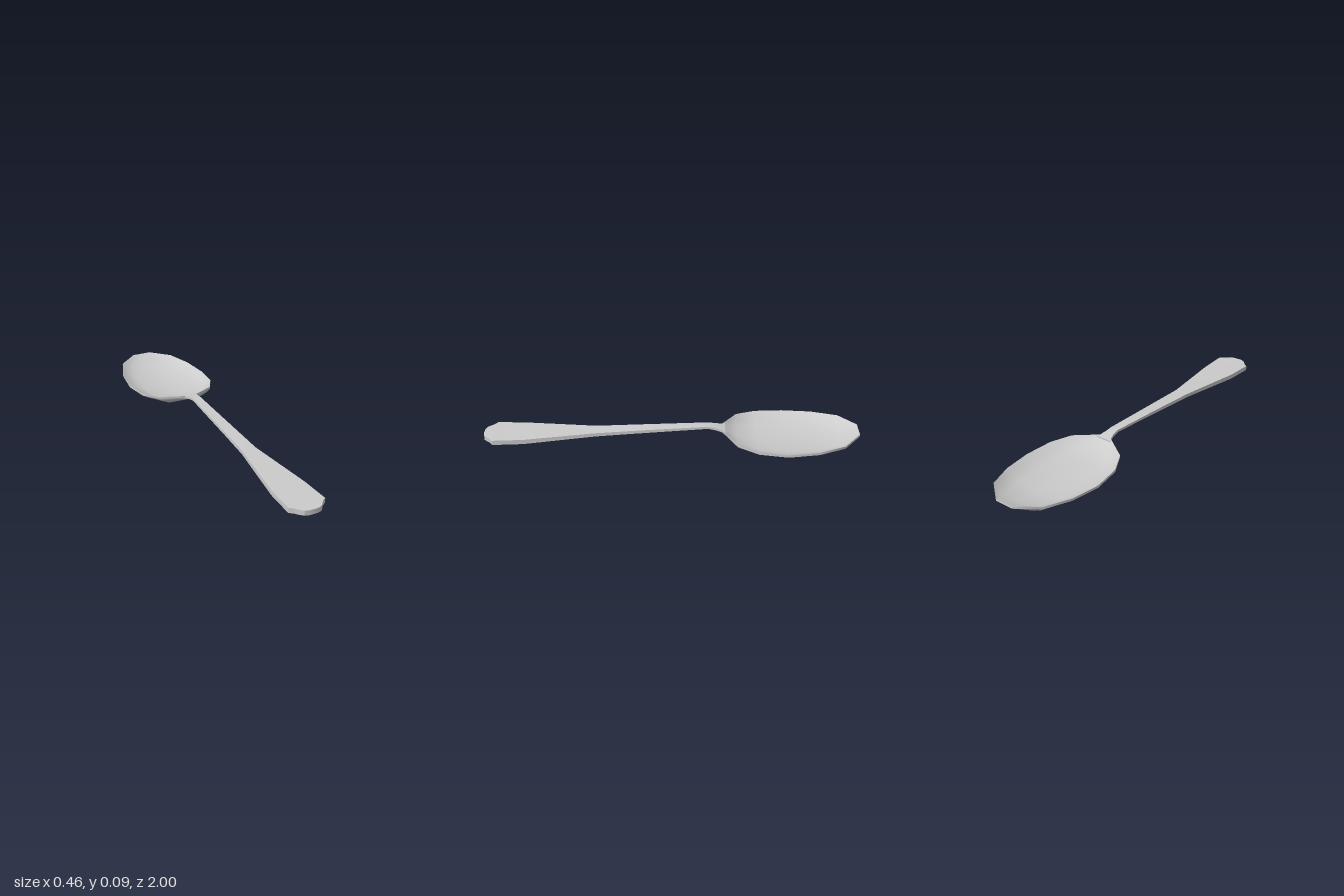
import * as THREE from 'three';
import { toCreasedNormals } from 'three/addons/utils/BufferGeometryUtils.js';

// Skin closed rings running from +z to -z. Each ring lists its underside
// left to right, then its upper side right to left.
function loft(rings, crease) {
  const n = rings[0].length, pos = [], idx = [];
  rings.forEach(r => r.forEach(p => pos.push(...p)));
  for (let i = 0; i < rings.length - 1; i++) {
    for (let j = 0; j < n; j++) {
      const a = i * n + j, b = i * n + (j + 1) % n, c = a + n, d = b + n;
      idx.push(c, d, b, c, b, a);
    }
  }
  const last = (rings.length - 1) * n;
  for (let j = 0; j < n / 2 - 1; j++) {
    const a = j, b = j + 1, c = n - 2 - j, d = n - 1 - j;
    idx.push(a, b, c, a, c, d);
    idx.push(last + a, last + c, last + b, last + a, last + d, last + c);
  }
  const g = new THREE.BufferGeometry();
  g.setAttribute('position', new THREE.Float32BufferAttribute(pos, 3));
  g.setIndex(idx);
  return toCreasedNormals(g, crease);
}

export function createModel() {
  const group = new THREE.Group();
  const material = new THREE.MeshStandardMaterial({ color: 0xcccccc });
  const add = (name, geometry) => {
    const mesh = new THREE.Mesh(geometry, material);
    mesh.name = name;
    group.add(mesh);
  };

  // Handle: z, half width, underside y, top y
  const handle = [
    [1.0, 0.02, 0.016, 0.042],
    [0.993, 0.045, 0.016, 0.042],
    [0.975, 0.062, 0.016, 0.042],
    [0.958, 0.075, 0.016, 0.043],
    [0.943, 0.097, 0.017, 0.043],
    [0.78, 0.09, 0.02, 0.046],
    [0.4, 0.039, 0.04, 0.06],
    [0.2, 0.033, 0.055, 0.073],
    [-0.2, 0.023, 0.084, 0.097],
    [-0.24, 0.026, 0.077, 0.091],
    [-0.275, 0.035, 0.069, 0.083],
    [-0.29, 0.05, 0.064, 0.08],
  ];
  add('handle', loft(handle.map(([z, w, lo, hi]) =>
    [[-w, lo, z], [w, lo, z], [w, hi, z], [-w, hi, z]]), 0.45));

  // Bowl: z, half width, rim y, lowest underside y
  const bowl = [
    [-0.275, 0.035, 0.083, 0.068],
    [-0.31, 0.09, 0.077, 0.045],
    [-0.355, 0.16, 0.07, 0.021],
    [-0.46, 0.214, 0.06, 0.009],
    [-0.61, 0.232, 0.055, 0.003],
    [-0.77, 0.212, 0.06, 0.006],
    [-0.91, 0.16, 0.068, 0.018],
    [-1.0, 0.052, 0.075, 0.061],
  ];
  // Cross-section: fraction of half width, fraction of depth
  const section = [[-1, 0], [-0.87, 0.43], [-0.61, 0.95], [0, 1], [0.61, 0.95], [0.87, 0.43], [1, 0]];
  const rim = 0.013;
  add('bowl', loft(bowl.map(([z, w, top, low]) => {
    const depth = top - rim - low;
    const under = section.map(([u, d]) => [u * w, top - rim - depth * d, z]);
    const inside = section.map(([u, d]) => [u * w, top - depth * d, z]).reverse();
    return [...under, ...inside];
  }), 0.85));

  return group;
}
